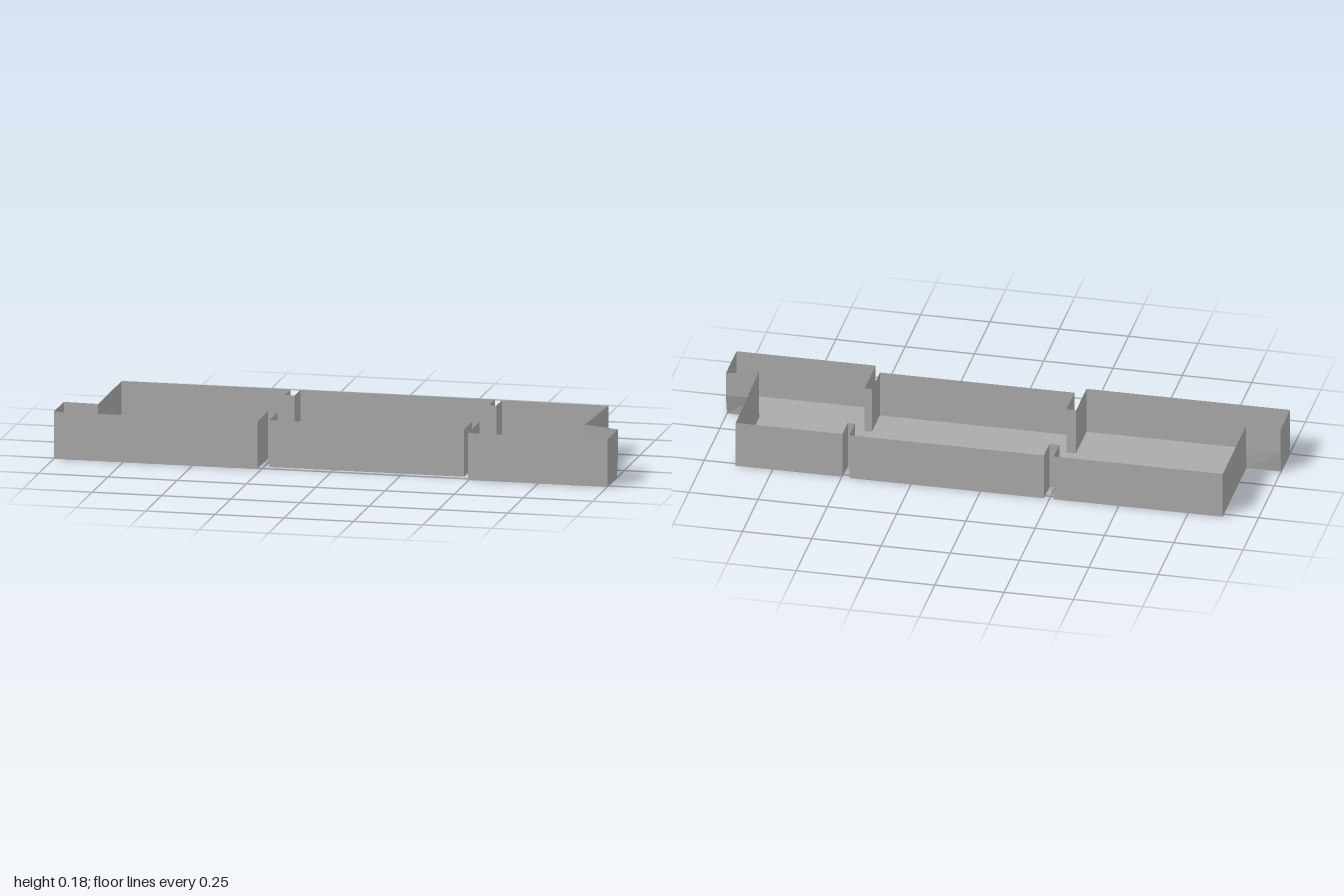
import * as THREE from 'three';

const WALL = 0.17; // normal wall height
const KINK = 0.08; // height where the end recess walls bend

// Outline corners: x, z at the floor, z above the kink, rim height
const outline = [
  [-0.875, -0.27], [-0.265, -0.27], [-0.265, -0.18], [-0.23, -0.18], [-0.23, -0.27],
  [0.472, -0.27], [0.472, -0.18], [0.498, -0.18], [0.498, -0.266], [0.883, -0.266],
  [0.883, 0.113, 0.108, 0.184], [1, 0.116, 0.095], [1, 0.268],
  [0.498, 0.268], [0.498, 0.09], [0.472, 0.09], [0.472, 0.22], [-0.23, 0.22],
  [-0.23, 0.09], [-0.265, 0.09], [-0.265, 0.258], [-1, 0.258],
  [-1, 0.112, 0.1], [-0.875, 0.112, 0.106],
].map(([x, z, zUpper = z, top = WALL]) => ({ x, z, zUpper, top }));

// One thin wall panel between two outline corners, bent at the kink height
function wallPanel(a, b) {
  const column = (p) => [[p.x, 0, p.z], [p.x, KINK, p.zUpper], [p.x, p.top, p.zUpper]];
  const ca = column(a), cb = column(b), pos = [];
  for (let i = 0; i < 2; i++) {
    pos.push(...ca[i], ...ca[i + 1], ...cb[i], ...cb[i], ...ca[i + 1], ...cb[i + 1]);
  }
  const g = new THREE.BufferGeometry();
  g.setAttribute('position', new THREE.Float32BufferAttribute(pos, 3));
  g.computeVertexNormals();
  return g;
}

export function createModel() {
  const model = new THREE.Group();
  model.name = 'openTray';
  const grey = new THREE.MeshStandardMaterial({ color: 0xaaaaaa, side: THREE.DoubleSide });
  grey.name = 'plain grey';

  // Flat floor with notches
  const shape = new THREE.Shape(outline.map((p) => new THREE.Vector2(p.x, -p.z)));
  const floor = new THREE.Mesh(new THREE.ShapeGeometry(shape).rotateX(-Math.PI / 2), grey);
  floor.name = 'floor';
  model.add(floor);

  // Thin walls all the way round
  const walls = new THREE.Group();
  walls.name = 'walls';
  outline.forEach((p, i) => {
    const panel = new THREE.Mesh(wallPanel(p, outline[(i + 1) % outline.length]), grey);
    panel.name = 'wallPanel' + (i + 1);
    walls.add(panel);
  });
  model.add(walls);
  return model;
}
